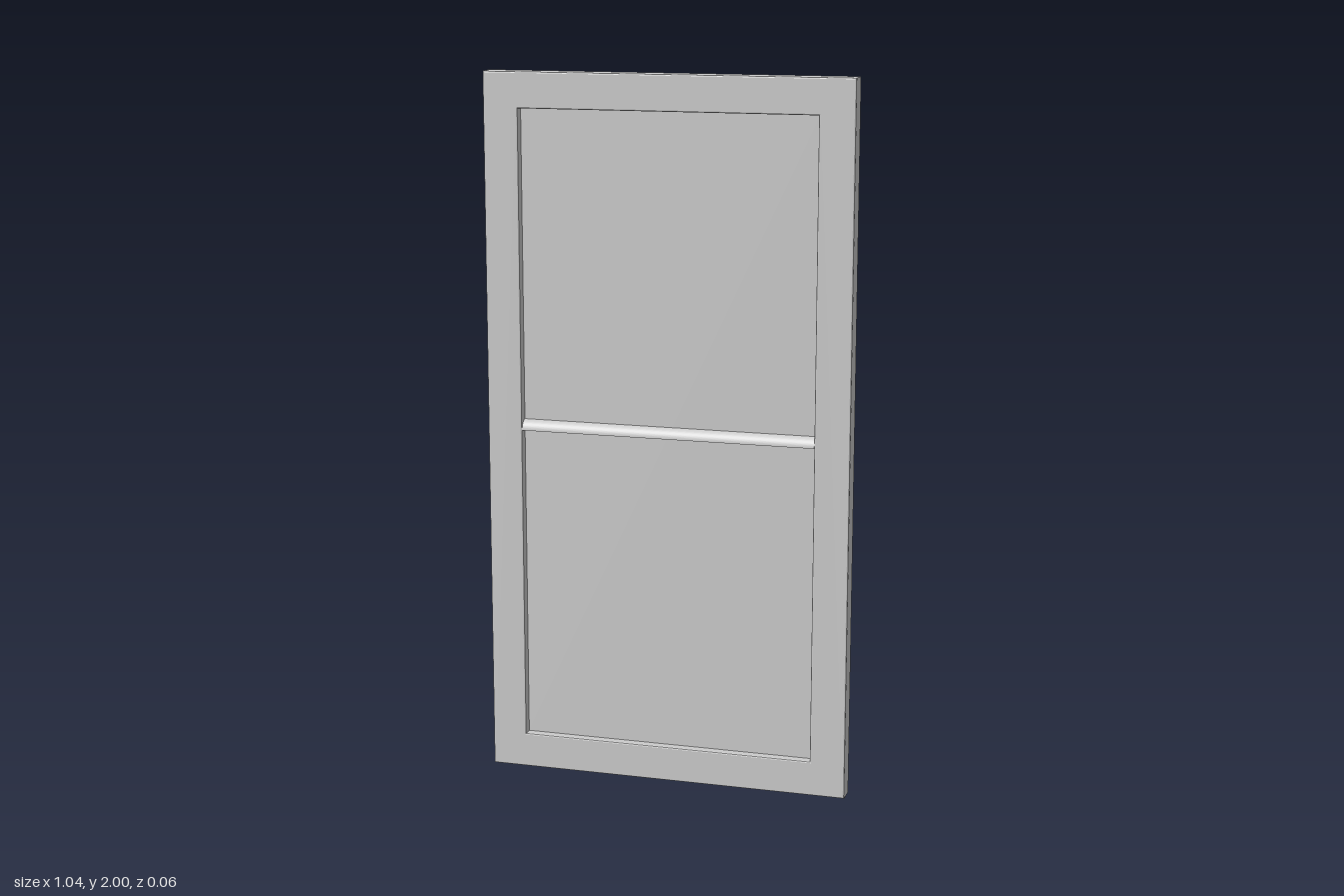
import * as THREE from 'three';

const W = 1.04, H = 2, D = 0.06, BORDER = 0.1, BEVEL = 0.004;

const material = new THREE.MeshStandardMaterial({ color: 0xcccccc });

function addPart(group, name, geometry, x = 0, y = 0, z = 0) {
  const mesh = new THREE.Mesh(geometry, material);
  mesh.name = name;
  mesh.position.set(x, y, z);
  group.add(mesh);
}

function rectangle(path, x0, y0, x1, y1) {
  path.moveTo(x0, y0);
  path.lineTo(x1, y0);
  path.lineTo(x1, y1);
  path.lineTo(x0, y1);
  path.closePath();
  return path;
}

export function createModel() {
  const door = new THREE.Group();
  door.name = 'door';
  const innerX = W / 2 - BORDER;

  // Outer frame with softened edges
  const outline = rectangle(new THREE.Shape(), -W / 2, 0, W / 2, H);
  outline.holes.push(rectangle(new THREE.Path(), -innerX, BORDER, innerX, H - BORDER));
  const frame = new THREE.ExtrudeGeometry(outline, {
    depth: D - 2 * BEVEL,
    bevelThickness: BEVEL,
    bevelSize: BEVEL,
    bevelOffset: -BEVEL,
    bevelSegments: 2,
  });
  addPart(door, 'frame', frame, 0, 0, -D / 2 + BEVEL);

  // Thin panel set in the middle of the frame
  addPart(door, 'panel', new THREE.BoxGeometry(2 * innerX, H - 2 * BORDER, 0.008), 0, H / 2, 0);

  // Half-round crossbar, flat underneath, rounded on top
  const profile = new THREE.Shape();
  profile.absarc(0, 0, D / 2 - 0.001, 0, Math.PI, false);
  profile.closePath();
  const bar = new THREE.ExtrudeGeometry(profile, {
    depth: 2 * innerX, bevelEnabled: false, curveSegments: 24,
  });
  bar.translate(0, 0, -innerX);
  bar.rotateY(Math.PI / 2);
  addPart(door, 'crossbar', bar, 0, 1, 0);

  return door;
}
